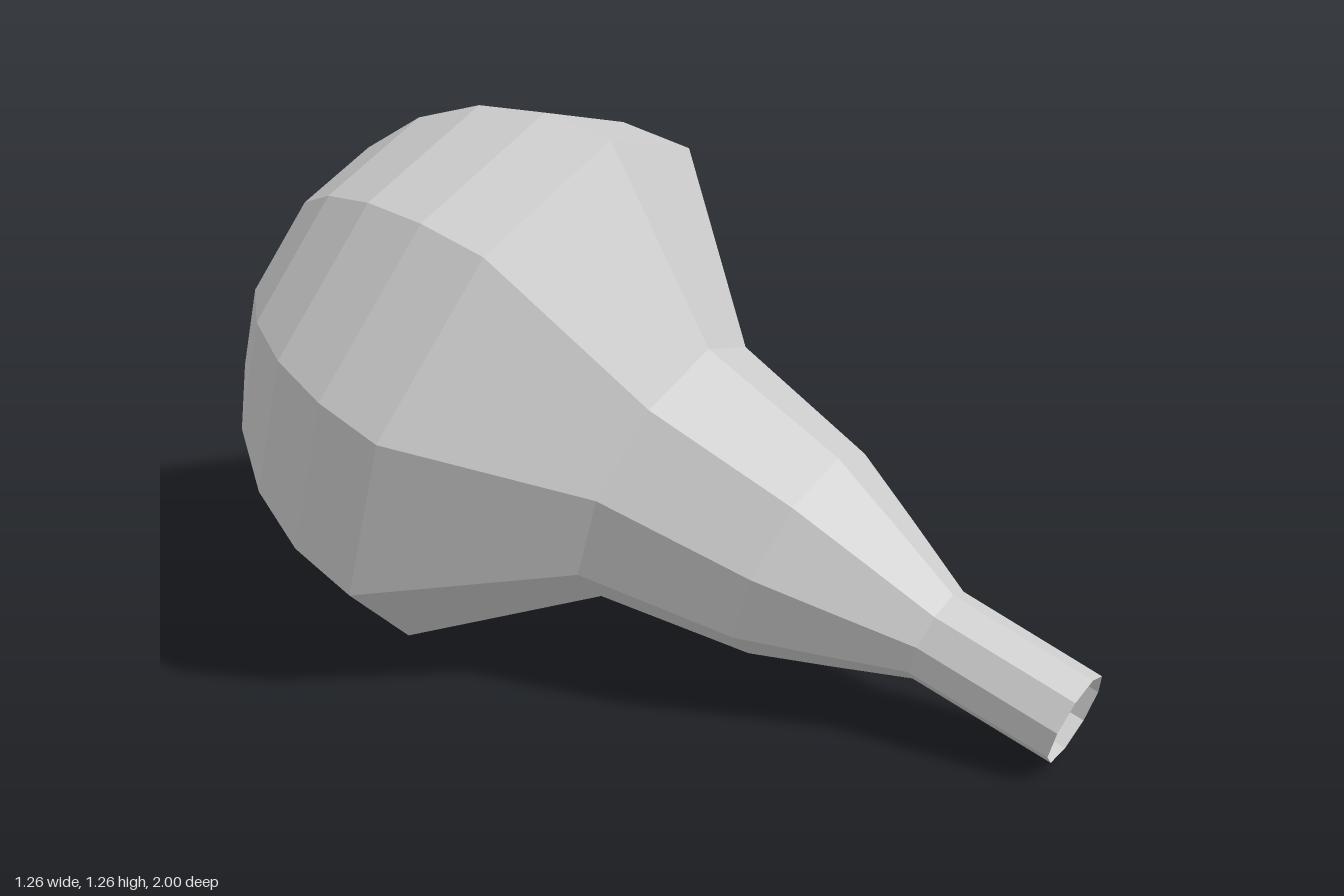
import * as THREE from 'three';

export function createModel() {
  const group = new THREE.Group();
  const R = 0.667;

  // Profile along the axis: rounded back of the bulb, then the tapering neck
  const profile = [new THREE.Vector2(0, -R)];
  for (const deg of [60, 45, 30, 15, 0]) {
    const a = THREE.MathUtils.degToRad(deg);
    profile.push(new THREE.Vector2(R * Math.cos(a), -R * Math.sin(a)));
  }
  for (const [r, s] of [[0.333, 0.38], [0.262, 0.75], [0.187, 0.93], [0.112, 1.105], [0.11, 1.458]]) {
    profile.push(new THREE.Vector2(r, s));
  }

  // Nine-sided hollow bulb with an open neck
  const bulb = new THREE.Mesh(
    new THREE.LatheGeometry(profile, 9),
    new THREE.MeshStandardMaterial({ color: 0xcccccc, flatShading: true, side: THREE.DoubleSide })
  );
  bulb.name = 'bulbWithNeck';

  // Tilt: the neck points forward, down and to the left; one edge runs along the top
  const axis = new THREE.Vector3(0.351, -0.326, 0.878).normalize();
  const top = new THREE.Vector3(0.077, 0.63, 0.204);
  top.addScaledVector(axis, -top.dot(axis)).normalize();
  const side = new THREE.Vector3().crossVectors(axis, top);
  bulb.quaternion.setFromRotationMatrix(new THREE.Matrix4().makeBasis(side, axis, top));
  bulb.position.set(0.003, 0.6, -0.334);

  group.add(bulb);
  return group;
}
